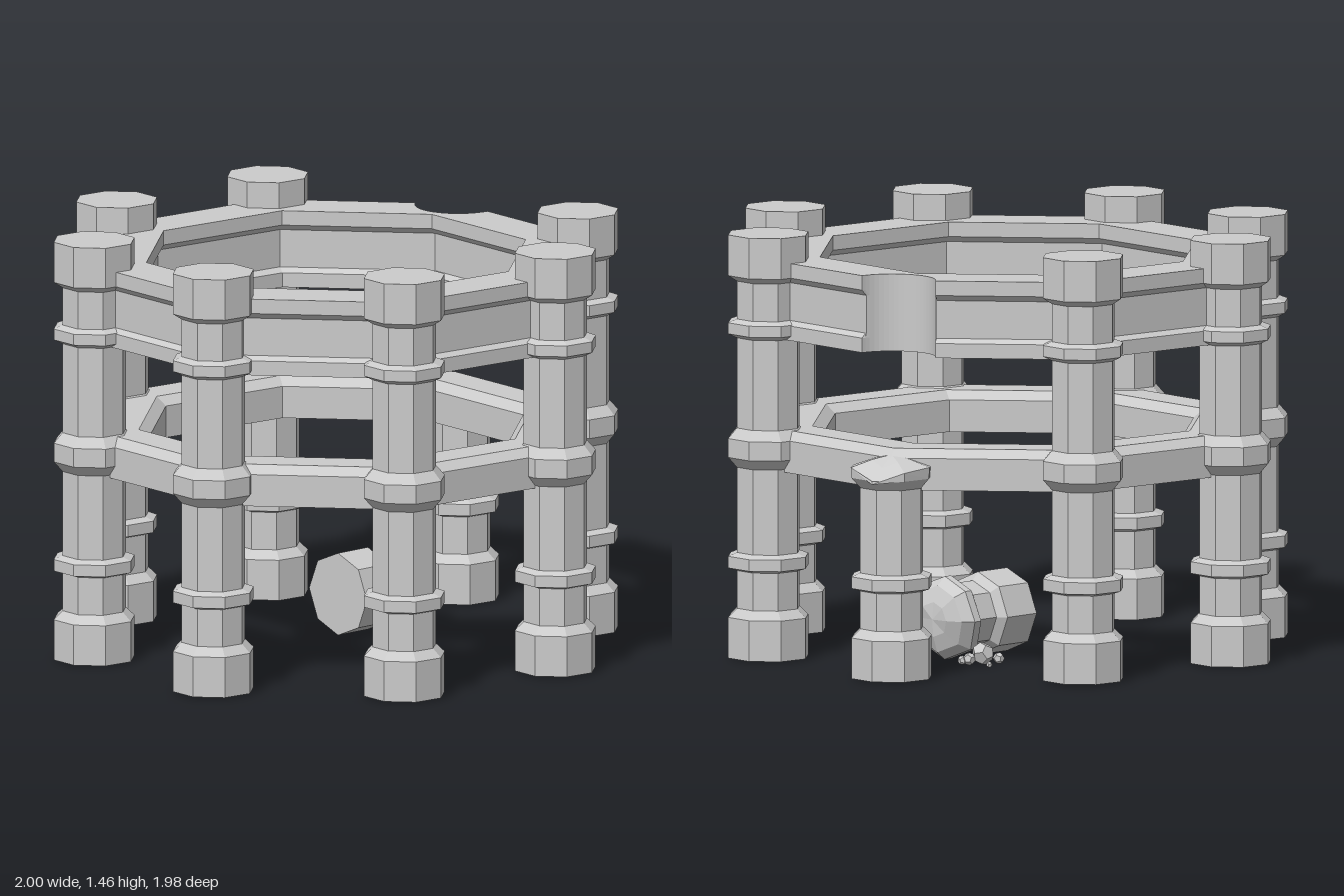
import * as THREE from 'three';

const R = 0.856, BITE = 0.148, STEP = Math.PI / 4;
const BROKEN = -STEP; // angle of the snapped column
const stone = new THREE.MeshStandardMaterial({ color: 0xcccccc, flatShading: true, side: THREE.DoubleSide });

// Eight-sided solid turned from [radius, height] pairs
function turned(name, profile) {
  const geo = new THREE.LatheGeometry(profile.map(([r, y]) => new THREE.Vector2(r, y)), 8);
  const mesh = new THREE.Mesh(geo, stone);
  mesh.name = name;
  return mesh;
}

// Roughen the vertices above a height into a broken end
function breakEnd(mesh, from, tilt, jag) {
  const p = mesh.geometry.attributes.position;
  for (let i = 0; i < p.count; i++) {
    const x = p.getX(i), z = p.getZ(i);
    if (p.getY(i) < from) continue;
    const a = Math.atan2(z, x), r = Math.hypot(x, z);
    p.setY(i, p.getY(i) - tilt * (x - z) + jag * r * Math.sin(3 * a + 1));
  }
}

// Sweep a cross-section around the octagon, optionally scooped at the snapped column
function ringBeam(name, profile, bitten) {
  const angles = [];
  for (let i = 0; i < 8; i++) angles.push(BROKEN + i * STEP);
  if (bitten) {
    const reach = Math.asin(BITE / R);
    for (let k = -12; k <= 12; k++) {
      if (k) angles.push(BROKEN + reach * Math.sin(k / 12 * Math.PI / 2) + (k < 0 ? 8 * STEP : 0));
    }
  }
  angles.sort((a, b) => a - b);
  angles.push(BROKEN + 8 * STEP);

  const point = (a, [apothem, y]) => {
    const t = (((a - BROKEN) % STEP) + STEP) % STEP;
    let r = apothem / Math.cos(t - STEP / 2);
    const phi = Math.atan2(Math.sin(a - BROKEN), Math.cos(a - BROKEN));
    const d = BITE * BITE - (R * Math.sin(phi)) ** 2;
    if (bitten && d >= 0 && Math.abs(phi) < 1) r = Math.min(r, R * Math.cos(phi) - Math.sqrt(d));
    return [r * Math.cos(a), y, r * Math.sin(a)];
  };

  const pos = [];
  for (let i = 0; i < angles.length - 1; i++) {
    for (let j = 0; j < profile.length; j++) {
      const next = profile[(j + 1) % profile.length];
      const a = point(angles[i], profile[j]), b = point(angles[i], next);
      const c = point(angles[i + 1], next), d = point(angles[i + 1], profile[j]);
      pos.push(...a, ...b, ...c, ...a, ...c, ...d);
    }
  }
  const geo = new THREE.BufferGeometry();
  geo.setAttribute('position', new THREE.Float32BufferAttribute(pos, 3));
  geo.computeVertexNormals();
  const mesh = new THREE.Mesh(geo, stone);
  mesh.name = name;
  return mesh;
}

export function createModel() {
  const model = new THREE.Group();
  model.name = 'columnRing';

  // Column profile: base, lower band, then middle band, upper band and capital
  const lower = [
    [0, 0], [0.143, 0], [0.143, 0.14], [0.112, 0.17], [0.112, 0.3], [0.143, 0.31],
    [0.143, 0.35], [0.112, 0.362], [0.112, 0.655], [0.143, 0.69],
  ];
  const upper = [
    [0.143, 0.755], [0.112, 0.79], [0.112, 1.1], [0.143, 1.115], [0.143, 1.153],
    [0.112, 1.165], [0.112, 1.295], [0.143, 1.315], [0.143, 1.455], [0, 1.455],
  ];
  const stub = [[0.146, 0.725], [0.07, 0.75], [0, 0.765]];

  // Seven whole columns and one snapped stub
  for (let i = 0; i < 8; i++) {
    const a = BROKEN + i * STEP;
    const col = i === 0 ? turned('brokenColumn', [...lower, ...stub]) : turned('column', [...lower, ...upper]);
    if (i === 0) breakEnd(col, 0.71, 0.12, 0.15);
    col.position.set(R * Math.cos(a), 0, 0.848 * Math.sin(a));
    model.add(col);
  }

  // Upper beam with raised bands top and bottom, scooped where the column tore away
  model.add(ringBeam('upperBeam', [
    [0.8, 1.1], [0.8, 1.15], [0.78, 1.165], [0.78, 1.295], [0.8, 1.315], [0.8, 1.365],
    [0.62, 1.365], [0.62, 1.315], [0.64, 1.295], [0.64, 1.165], [0.615, 1.15], [0.615, 1.1],
  ], true));

  // Lower beam with chamfered top edges
  model.add(ringBeam('lowerBeam', [
    [0.805, 0.645], [0.805, 0.755], [0.775, 0.785], [0.645, 0.785], [0.612, 0.755], [0.612, 0.645],
  ], false));

  // Fallen capital lying inside the ring
  const fallen = turned('fallenCapital', [
    [0, 0], [0.143, 0], [0.143, 0.14], [0.115, 0.165], [0.115, 0.245], [0.143, 0.27],
    [0.143, 0.3], [0.115, 0.335], [0.06, 0.355], [0, 0.36],
  ]);
  breakEnd(fallen, 0.26, 0.06, 0.08);
  fallen.rotation.set(0, 0.48, -Math.PI / 2);
  fallen.position.set(0.04, 0.143, -0.115);
  model.add(fallen);

  // Rubble: x, z, size
  const rubble = [[0.16, -0.4, 0.02], [0.215, -0.395, 0.04], [0.265, -0.4, 0.022], [0.285, -0.385, 0.016], [0.22, -0.485, 0.011]];
  rubble.forEach(([x, z, s], i) => {
    const chip = new THREE.Mesh(new THREE.DodecahedronGeometry(s, 0), stone);
    chip.name = 'rubble';
    chip.position.set(x, s * 0.9, z);
    chip.rotation.set(i, i * 2, i * 3);
    model.add(chip);
  });
  return model;
}
